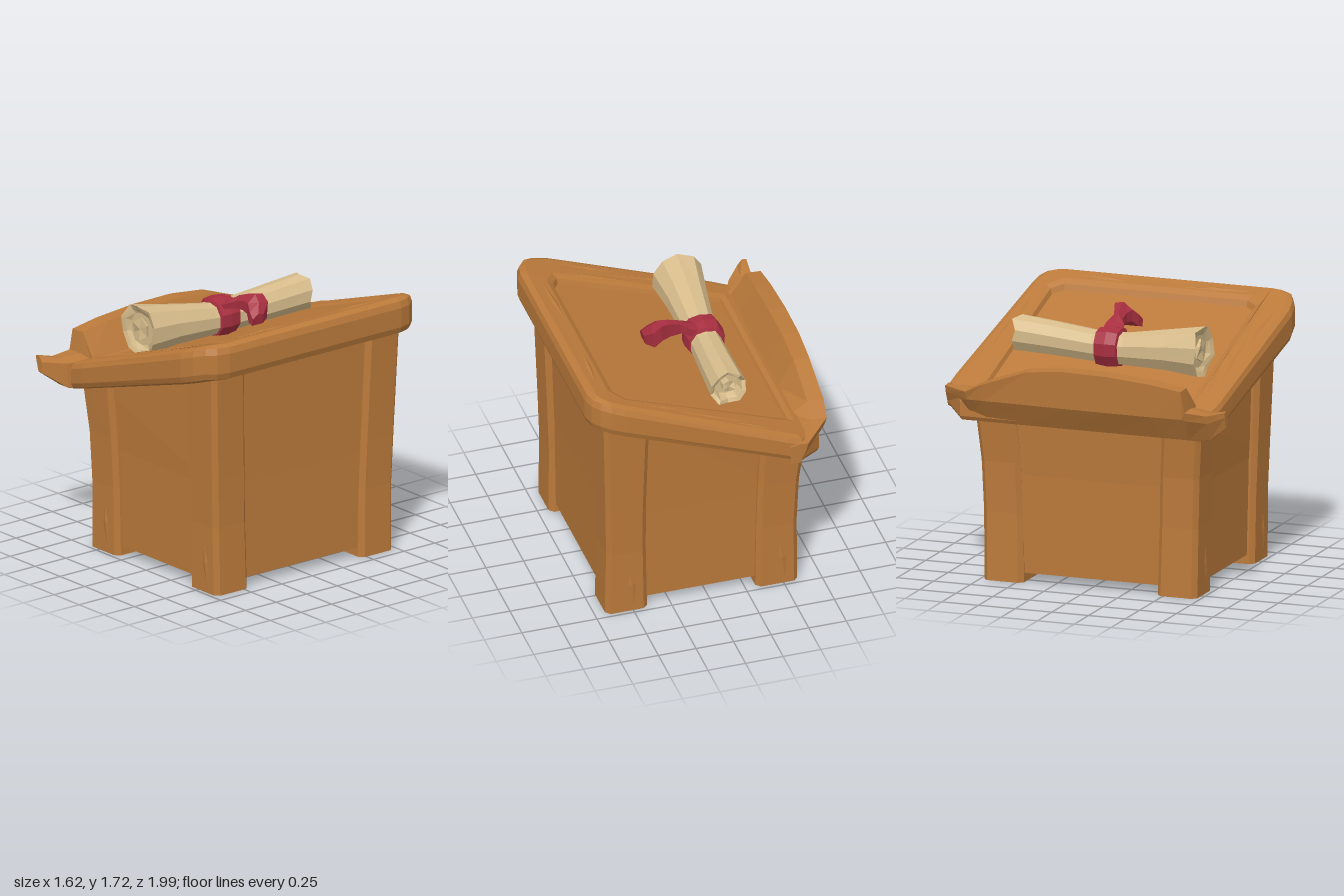
import * as THREE from 'three';

// Skin a list of equal-length point rings into a faceted solid with closed ends
function loft(rings) {
  const n = rings[0].length, pos = [];
  const tri = (a, b, c) => pos.push(...a, ...b, ...c);
  for (let i = 0; i < rings.length - 1; i++) {
    for (let j = 0; j < n; j++) {
      const k = (j + 1) % n, a = rings[i], b = rings[i + 1];
      tri(a[j], a[k], b[k]);
      tri(a[j], b[k], b[j]);
    }
  }
  const cap = (ring, flip) => {
    const c = [0, 1, 2].map(d => ring.reduce((s, p) => s + p[d], 0) / n);
    for (let j = 0; j < n; j++) {
      const k = (j + 1) % n;
      if (flip) tri(c, ring[k], ring[j]); else tri(c, ring[j], ring[k]);
    }
  };
  cap(rings[0], true);
  cap(rings[rings.length - 1], false);
  // Turn the faces outward whichever way the rings run
  let volume = 0;
  const v = i => new THREE.Vector3(pos[i], pos[i + 1], pos[i + 2]);
  for (let i = 0; i < pos.length; i += 9) volume += v(i).dot(v(i + 3).cross(v(i + 6)));
  if (volume < 0) {
    for (let i = 0; i < pos.length; i += 9) {
      for (let d = 0; d < 3; d++) [pos[i + 3 + d], pos[i + 6 + d]] = [pos[i + 6 + d], pos[i + 3 + d]];
    }
  }
  const g = new THREE.BufferGeometry();
  g.setAttribute('position', new THREE.Float32BufferAttribute(pos, 3));
  g.computeVertexNormals();
  return g;
}

// Rectangle ring in plan with cut corners; y follows a slope along x
function planRing(x0, x1, z0, z1, c, y, slope = 0) {
  return [[x0 + c, z0], [x1 - c, z0], [x1, z0 + c], [x1, z1 - c], [x1 - c, z1], [x0 + c, z1], [x0, z1 - c], [x0, z0 + c]]
    .map(([x, z]) => [x, y + slope * x, z]);
}

// Lift flat desk-top geometry onto the writing slope, which levels off at the high edge
const topY = (x, h) => 1.36 + 0.33 * Math.min(x, 0.73) + h * (1 + 0.2 * x);
function slopeUp(g) {
  const p = g.attributes.position;
  for (let i = 0; i < p.count; i++) p.setY(i, topY(p.getX(i), p.getY(i)));
  g.computeVertexNormals();
  return g;
}

export function createModel() {
  const model = new THREE.Group();
  const material = (name, color) => {
    const m = new THREE.MeshStandardMaterial({ color });
    m.name = name;
    return m;
  };
  const wood = material('wood', 0xbb7a3b);
  const paper = material('parchment', 0xd8bd8c);
  const red = material('ribbon red', 0xa82f40);
  const add = (name, geometry, mat, parent = model) => {
    const m = new THREE.Mesh(geometry, mat);
    m.name = name;
    parent.add(m);
    return m;
  };

  // Cabinet with a slanted top edge
  add('cabinet', loft([
    planRing(-0.56, 0.64, -0.68, 0.68, 0.02, 0.06),
    planRing(-0.57, 0.645, -0.69, 0.69, 0.02, 0.7),
    planRing(-0.6, 0.665, -0.72, 0.72, 0.02, 1.32, 0.33),
  ]), wood);

  // Four corner posts, flaring toward the top
  const posts = new THREE.Group();
  posts.name = 'cornerPosts';
  model.add(posts);
  const columns = [
    [[-0.6, -0.32], [-0.594, -0.325], [-0.606, -0.332], [-0.64, -0.345]],
    [[0.4, 0.68], [0.41, 0.674], [0.413, 0.682], [0.4, 0.705]],
  ];
  for (const [bottom, low, high, top] of columns) {
    for (const s of [1, -1]) {
      const ring = ([x0, x1], zi, zo, y, slope) =>
        planRing(x0, x1, Math.min(s * zi, s * zo), Math.max(s * zi, s * zo), 0.03, y, slope);
      add('cornerPost', loft([
        ring(bottom, 0.455, 0.725, 0, 0),
        ring(low, 0.465, 0.73, 0.45, 0),
        ring(high, 0.475, 0.742, 0.78, 0),
        ring(top, 0.5, 0.77, 1.31, 0.33),
      ]), wood, posts);
      // Splinter near the foot
      const splinter = new THREE.OctahedronGeometry(1).scale(0.03, 0.16, 0.009);
      splinter.rotateZ(0.1 * s).translate((bottom[0] + bottom[1]) / 2 + 0.03 * s, 0.2, s * 0.726);
      add('postSplinter', splinter.toNonIndexed(), wood, posts);
    }
  }

  // Frame of the desk top, a rounded outline with an opening
  const outline = new THREE.Shape();
  outline.moveTo(-0.7, -0.84);
  outline.lineTo(-0.55, -0.98);
  outline.lineTo(-0.45, -0.975);
  outline.lineTo(0.6, -0.87);
  outline.quadraticCurveTo(0.79, -0.86, 0.81, -0.68);
  outline.lineTo(0.81, 0.72);
  outline.quadraticCurveTo(0.79, 0.91, 0.56, 0.925);
  outline.lineTo(-0.5, 0.87);
  outline.lineTo(-0.7, 0.84);
  const opening = new THREE.Path();
  [[-0.51, -0.72], [-0.51, 0.65], [0.56, 0.66], [0.6, 0.6], [0.6, -0.64], [0.54, -0.7]]
    .forEach(([x, z], i) => i ? opening.lineTo(x, z) : opening.moveTo(x, z));
  outline.holes.push(opening);
  const frame = new THREE.ExtrudeGeometry(outline, {
    depth: 0.11, bevelThickness: 0.05, bevelSize: 0.05, bevelOffset: -0.05, bevelSegments: 2, curveSegments: 4,
  });
  frame.rotateX(Math.PI / 2).translate(0, 0.055, 0);
  add('deskFrame', slopeUp(frame), wood);

  // Sunken writing surface
  const board = new THREE.BoxGeometry(1.24, 0.12, 1.5).toNonIndexed();
  board.translate(0.04, 0, -0.03);
  add('writingSurface', slopeUp(board), wood);

  // Raised splinters on the frame: [x, z, length, turn]
  const splinters = [
    [-0.1, 0.78, 0.7, 0.05], [0.3, 0.82, 0.5, -0.06], [-0.3, 0.73, 0.4, 0.12], [0.25, 0.72, 0.6, -0.04],
    [0, -0.83, 0.7, -0.06], [0.3, -0.79, 0.45, 0.04], [-0.25, -0.88, 0.4, -0.1],
    [0.69, -0.4, 0.4, 1.5], [0.68, 0.35, 0.5, 1.62],
  ];
  for (const [x, z, len, turn] of splinters) {
    const g = new THREE.OctahedronGeometry(1);
    g.scale(len / 2, 0.01, 0.022).rotateY(turn).translate(x, 0.102, z);
    add('woodSplinter', slopeUp(g), wood);
  }

  // Raised lip on the low edge, with a broken spike: [z, outer x, inner x, bottom, top]
  const lip = [
    [-0.99, -0.58, -0.46, 1.1, 1.24], [-0.78, -0.77, -0.55, 1.08, 1.26], [-0.66, -0.785, -0.57, 1.07, 1.32],
    [-0.35, -0.79, -0.58, 1.07, 1.43], [-0.1, -0.8, -0.58, 1.07, 1.455], [0.2, -0.805, -0.58, 1.07, 1.45],
    [0.5, -0.805, -0.59, 1.07, 1.425], [0.7, -0.8, -0.6, 1.07, 1.395], [0.725, -0.8, -0.58, 1.07, 1.26],
    [0.87, -0.795, -0.64, 1.08, 1.25], [1.0, -0.8, -0.74, 1.18, 1.285],
  ];
  add('paperLip', loft(lip.map(([z, x0, x1, y0, y1]) => {
    const w = x1 - x0, h = y1 - y0;
    return [[x1, y0], [x0 + 0.45 * w, y0], [x0 + 0.08 * w, y0 + Math.min(0.14, h * 0.7)], [x0, y1],
      [x0 + 0.5 * w, y1 + 0.005], [x1, Math.min(1.25, y1 - 0.01)]].map(([x, y]) => [x, y, z]);
  })), wood);

  // Rolled scroll, hollow at both ends: [z, x, y, radius, edge raggedness]
  const circle = (z, x, y, r, rag = 0, sides = 10) => Array.from({ length: sides }, (_, i) => {
    const a = (i + 0.5) / sides * Math.PI * 2;
    const k = r * (1 + 0.04 * Math.sin(i * 2.4));
    return [x + k * Math.cos(a), y + k * Math.sin(a), z + rag * Math.sin(i * 3.7)];
  });
  const scroll = [
    [0.6, -0.225, 1.525, 0.11], [0.62, -0.225, 1.525, 0.14, 0.01], [0.63, -0.225, 1.525, 0.17, 0.015],
    [0.4, -0.213, 1.515, 0.138], [0.1, -0.195, 1.49, 0.109], [-0.12, -0.185, 1.49, 0.104],
    [-0.4, -0.17, 1.51, 0.112], [-0.65, -0.16, 1.525, 0.12, 0.02], [-0.64, -0.16, 1.525, 0.095, 0.02],
    [-0.58, -0.16, 1.525, 0.08],
  ];
  add('scroll', loft(scroll.map(s => circle(...s))), paper);
  add('scrollInnerRoll', loft([circle(0.56, -0.225, 1.525, 0.06, 0, 6), circle(0.62, -0.22, 1.53, 0.075, 0.012, 6)]), paper);
  add('scrollInnerRollBack', loft([circle(-0.55, -0.16, 1.525, 0.04, 0, 6), circle(-0.63, -0.165, 1.53, 0.045, 0.012, 6)]), paper);

  // Ribbon band around the scroll
  add('ribbonBand', loft([
    [0.07, 0.1], [0.062, 0.127], [-0.01, 0.134], [-0.085, 0.124], [-0.092, 0.1],
  ].map(([z, r]) => circle(z, -0.195, 1.495, r))), red);

  // Ribbon tail arching over the desk: [x, bottom, top, back z, front z]
  const tail = [
    [-0.14, 1.55, 1.61, -0.085, 0.05], [-0.08, 1.57, 1.635, -0.085, 0.035], [-0.02, 1.585, 1.67, -0.06, 0.0],
    [0.06, 1.595, 1.7, -0.085, 0.0], [0.12, 1.59, 1.71, -0.108, 0.015], [0.17, 1.55, 1.67, -0.108, 0.04],
    [0.212, 1.54, 1.615, -0.04, 0.048],
  ];
  add('ribbonTail', loft(tail.map(([x, y0, y1, z0, z1]) => [
    [x - 0.01, y0, z0], [x - 0.01, y0, z1], [x, y0 + (y1 - y0) * 0.6, z1], [x, y1, (z0 + z1) / 2], [x, y1 - 0.01, z0],
  ])), red);

  return model;
}
